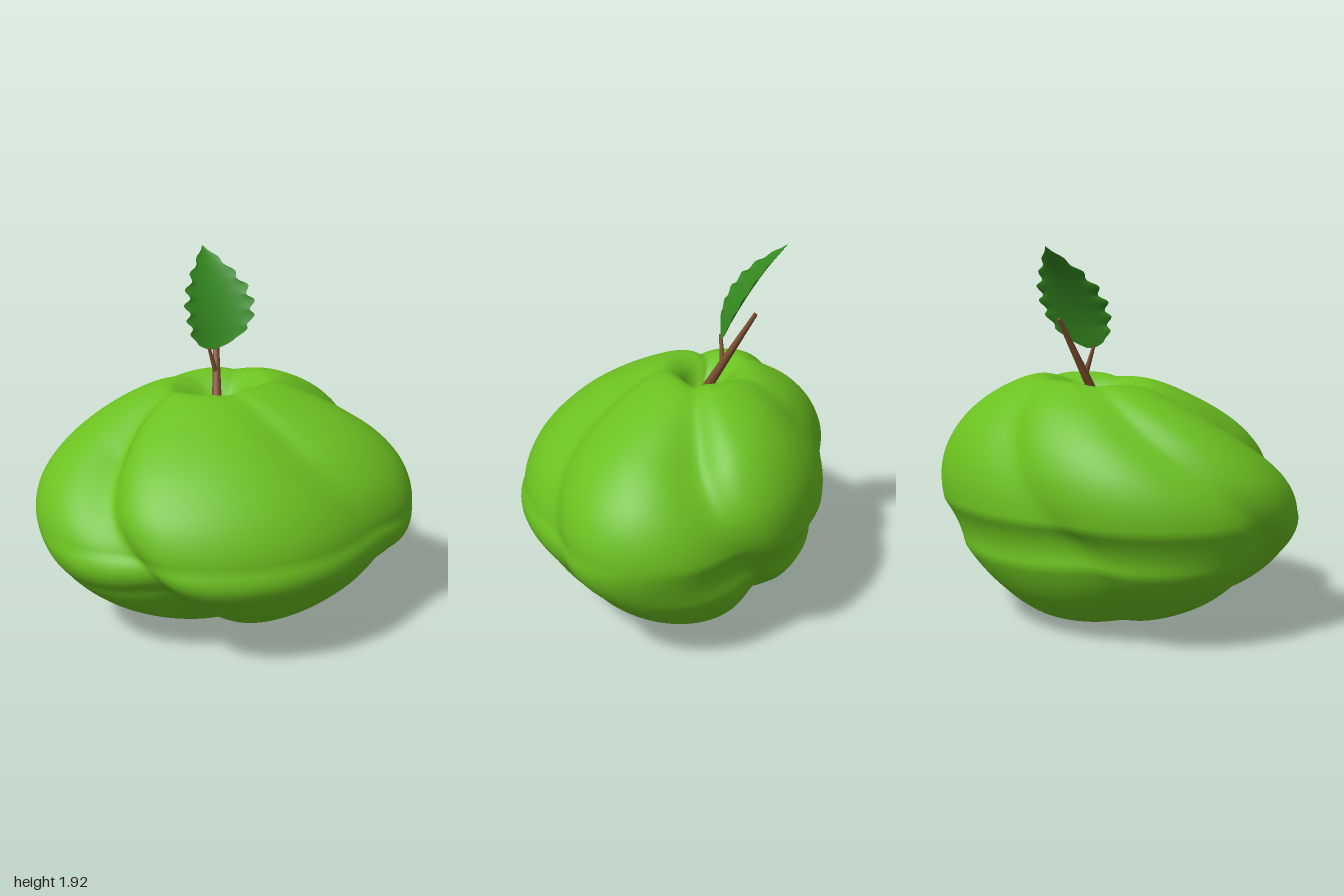
import * as THREE from 'three';

const V = (x, y, z) => new THREE.Vector3(x, y, z);
const rad = THREE.MathUtils.degToRad;

// Indexed grid surface; wrap joins the last column to the first
function gridGeometry(rows, cols, wrap, point) {
  const pos = [], idx = [];
  const n = wrap ? cols : cols + 1;
  for (let i = 0; i <= rows; i++)
    for (let j = 0; j < n; j++) pos.push(...point(i / rows, j / cols).toArray());
  for (let i = 0; i < rows; i++)
    for (let j = 0; j < cols; j++) {
      const k = (j + 1) % n;
      const a = i * n + j, b = i * n + k, c = a + n, d = (i + 1) * n + k;
      idx.push(a, c, b, b, c, d);
    }
  const g = new THREE.BufferGeometry();
  g.setAttribute('position', new THREE.Float32BufferAttribute(pos, 3));
  g.setIndex(idx);
  g.computeVertexNormals();
  return g;
}

// Fruit profile from the underside to the bottom of the top hollow: radius, height, then centre x and z
const PROFILE = [
  [0, 0.05, 0.07, -0.08], [0.1, 0.02, 0.07, -0.08], [0.25, 0.015, 0.07, -0.07],
  [0.47, 0.065, 0.04, -0.06], [0.72, 0.2, 0.005, -0.03], [0.91, 0.4, 0, 0],
  [0.99, 0.62, 0, 0], [0.95, 0.82, 0.005, -0.03], [0.79, 1.02, 0.015, -0.08],
  [0.53, 1.185, 0.025, -0.14], [0.28, 1.265, 0.03, -0.165], [0.17, 1.22, 0.02, -0.16],
  [0.06, 1.1, 0.01, -0.13], [0, 1.06, 0, -0.12],
];

// Fullness of the outline every 30 degrees round the fruit
const FULLNESS = [1.03, 1.06, 1.0, 1.01, 0.995, 0.99, 1.01, 1.08, 1.075, 1.02, 0.99, 1.01];

// Spiral creases: angle at the widest height, depth
const CREASES = [[-23, 0.1], [49, 0.06], [138, 0.12], [204, 0.06], [264, 0.055]];

function fruitGeometry() {
  const outline = new THREE.CatmullRomCurve3(PROFILE.map(([r, y]) => V(r, y, 0)));
  const centre = new THREE.CatmullRomCurve3(PROFILE.map(([, , x, z]) => V(x, 0, z)));
  const fullness = new THREE.CatmullRomCurve3(FULLNESS.map((f) => V(f, 0, 0)), true, 'catmullrom');
  return gridGeometry(110, 240, true, (t, s) => {
    const p = outline.getPoint(t), c = centre.getPoint(t), tan = outline.getTangent(t);
    const phi = s * 360;
    const turn = phi + (t * 13 - 6) * 10;
    const theta = rad(turn);
    // Each crease is steep on one side and eases out on the other
    let dent = 0;
    for (const [angle, depth] of CREASES) {
      const d = ((phi - angle + 540) % 360) - 180;
      const w = d < 0 ? 10 : 18;
      dent += depth * Math.exp(1 - Math.sqrt(1 + (d / w) ** 2 * 2.5));
    }
    // Creases soften towards both poles
    dent *= Math.min(1, Math.max(0, p.x) / 0.7) ** 1.5;
    dent *= 0.75 + 0.25 * THREE.MathUtils.smoothstep(t, 0.25, 0.5);
    const full = fullness.getPoint(((turn + 360) % 360) / 360).x;
    const r = Math.max(0, p.x * full - tan.y * dent);
    const x = c.x + r * Math.cos(theta);
    // The fruit is slightly taller on its left side
    const y = 0.62 + (p.y + tan.x * dent - 0.62) * (1 + 0.07 * x);
    return V(x, Math.max(0, y), c.z + r * 0.81 * Math.sin(theta));
  });
}

function leafGeometry() {
  const rib = new THREE.CatmullRomCurve3([
    V(0.02, 1.42, -0.235), V(0.07, 1.54, -0.28), V(0.085, 1.67, -0.35),
    V(0.085, 1.8, -0.44), V(0.08, 1.92, -0.55),
  ]);
  const width = new THREE.SplineCurve([
    [0, 0.02], [0.08, 0.1], [0.2, 0.155], [0.4, 0.185], [0.6, 0.165], [0.8, 0.095], [1, 0],
  ].map(([u, w]) => new THREE.Vector2(u, w)));
  return gridGeometry(72, 12, false, (t, s) => {
    const { x: u, y: w } = width.getPoint(t);
    const p = rib.getPoint(THREE.MathUtils.clamp(u, 0, 1));
    const v = s * 2 - 1;
    // Toothed margin on a shallow cup
    const wave = Math.sin(u * Math.PI * 14) * Math.sin(Math.PI * u) * v ** 4;
    return V(p.x + v * (Math.max(0, w) + 0.018 * wave), p.y + 0.003 * wave,
      p.z + 0.045 * v * v * Math.sin(Math.PI * u));
  });
}

// Tapered round twig between two points
function twig(name, from, to, r0, r1, material) {
  const dir = to.clone().sub(from);
  const m = new THREE.Mesh(new THREE.CylinderGeometry(r1, r0, dir.length(), 16), material);
  m.position.copy(from).addScaledVector(dir, 0.5);
  m.quaternion.setFromUnitVectors(V(0, 1, 0), dir.normalize());
  m.name = name;
  return m;
}

export function createModel() {
  const skin = new THREE.MeshStandardMaterial({ color: 0x6bc020 });
  skin.name = 'fruitGreen';
  const bark = new THREE.MeshStandardMaterial({ color: 0x7a4f30 });
  bark.name = 'barkBrown';
  const foliage = new THREE.MeshStandardMaterial({ color: 0x358a20, side: THREE.DoubleSide });
  foliage.name = 'leafGreen';

  const group = new THREE.Group();
  group.name = 'fruit';
  const body = new THREE.Mesh(fruitGeometry(), skin);
  body.name = 'body';
  const leaf = new THREE.Mesh(leafGeometry(), foliage);
  leaf.name = 'leaf';
  group.add(
    body,
    leaf,
    twig('stem', V(0, 1.05, -0.115), V(0.1, 1.57, -0.4), 0.03, 0.011, bark),
    twig('leafStalk', V(0.045, 1.28, -0.245), V(0, 1.43, -0.235), 0.015, 0.008, bark),
  );
  return group;
}
